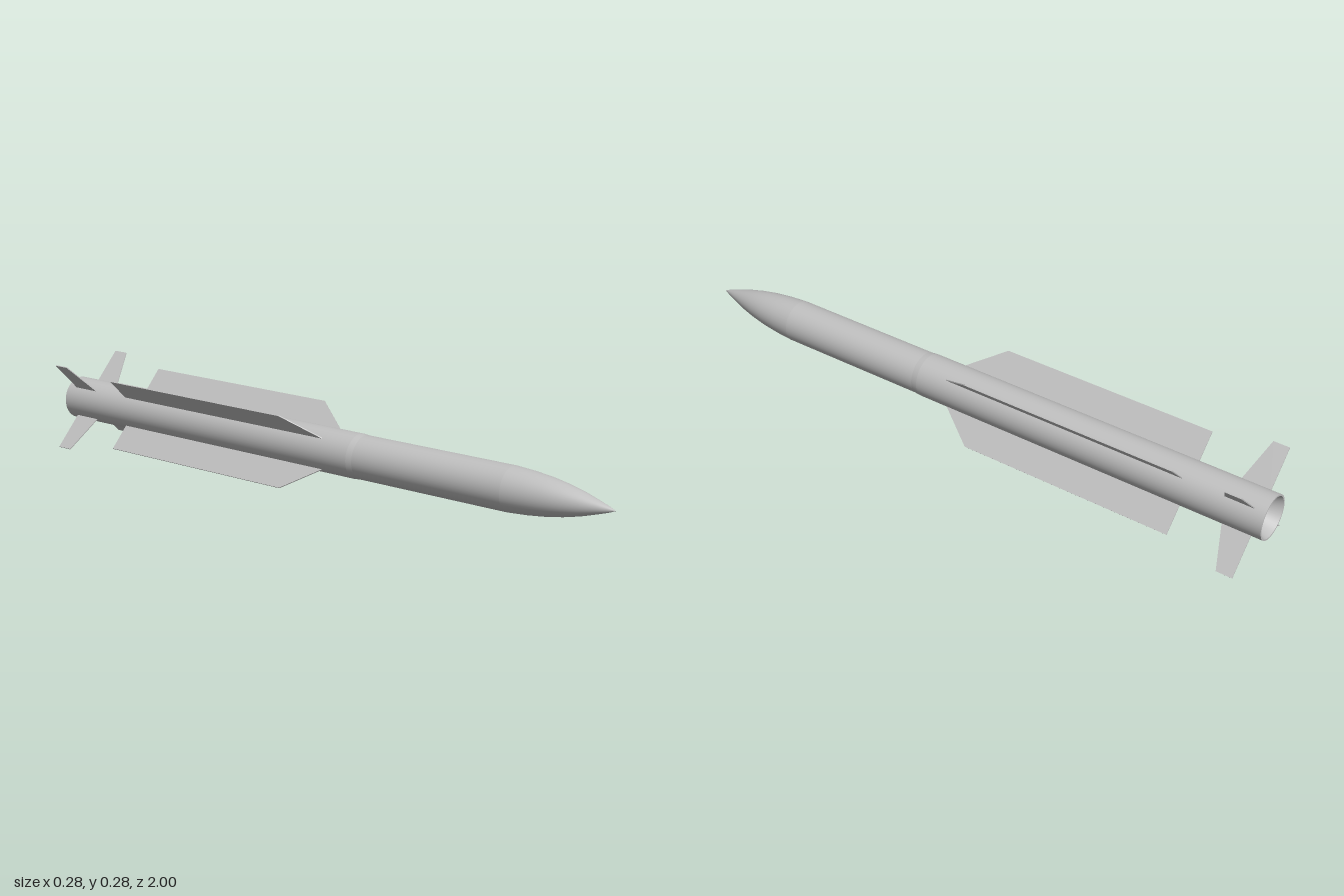
import * as THREE from 'three';

const AXIS_Y = 0.138;

export function createModel() {
  const model = new THREE.Group();
  const grey = new THREE.MeshStandardMaterial({ color: 0xc0c0c0 });
  grey.name = 'light grey';

  const body = new THREE.Group();
  body.name = 'airframe';
  body.position.y = AXIS_Y;
  model.add(body);

  // Turned parts: profile points are [radius, z], listed from tail to nose
  function turned(name, profile) {
    const points = profile.map(([r, z]) => new THREE.Vector2(r, z));
    const geometry = new THREE.LatheGeometry(points, 48).rotateX(Math.PI / 2);
    const mesh = new THREE.Mesh(geometry, grey);
    mesh.name = name;
    body.add(mesh);
  }
  turned('exhaustCone', [[0, -0.85], [0.063, -1]]);
  turned('tailRim', [[0.063, -1], [0.068, -1]]);
  turned('rearTube', [[0.068, -1], [0.068, 0.16]]);
  turned('tubeStep', [[0.068, 0.16], [0.066, 0.18]]);
  turned('frontTube', [[0.066, 0.18], [0.066, 0.68]]);
  turned('noseCone', [[0.066, 0.68], [0.062, 0.74], [0.055, 0.8], [0.046, 0.85],
    [0.034, 0.9], [0.0185, 0.95], [0.009, 0.978], [0, 1]]);

  // Thin fins: outline points are [radius, z]
  function finGeometry(outline, thickness) {
    const shape = new THREE.Shape(outline.map(([r, z]) => new THREE.Vector2(r, z)));
    return new THREE.ExtrudeGeometry(shape, { depth: thickness, bevelEnabled: false })
      .translate(0, 0, -thickness / 2)
      .rotateX(Math.PI / 2);
  }
  const wing = finGeometry([[0.06, -0.743], [0.157, -0.743], [0.157, -0.053], [0.06, 0.07]], 0.003);
  const tailFin = finGeometry([[0.06, -0.965], [0.194, -0.965], [0.194, -0.915], [0.06, -0.873]], 0.003);

  // Four wings and four tail fins in an X arrangement
  for (let i = 0; i < 4; i++) {
    for (const [name, geometry] of [['wing', wing], ['tailFin', tailFin]]) {
      const mesh = new THREE.Mesh(geometry, grey);
      mesh.name = name + (i + 1);
      mesh.rotation.z = Math.PI / 4 + i * Math.PI / 2;
      body.add(mesh);
    }
  }
  return model;
}
